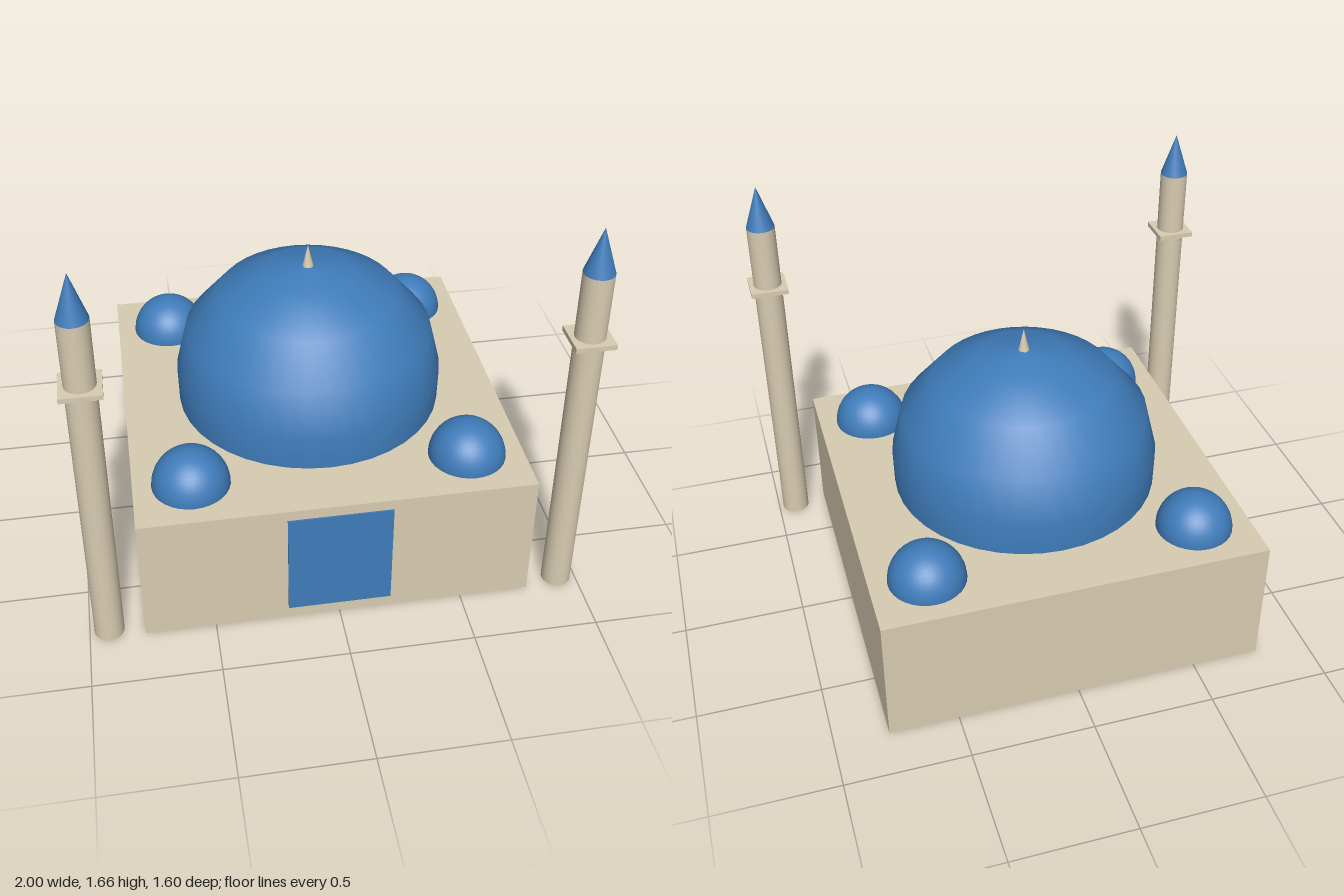
import * as THREE from 'three';

export function createModel() {
  const model = new THREE.Group();
  model.name = 'domedBuilding';
  const stone = new THREE.MeshStandardMaterial({ color: 0xd8ccb2 });
  stone.name = 'sandstone';
  const blue = new THREE.MeshStandardMaterial({ color: 0x3f7cba });
  blue.name = 'blueTile';

  const add = (parent, name, geometry, material, x, y, z) => {
    const mesh = new THREE.Mesh(geometry, material);
    mesh.name = name;
    mesh.position.set(x, y, z);
    parent.add(mesh);
    return mesh;
  };

  const roofY = 0.555, centreZ = -0.018, width = 1.565;

  // Square hall and its thin front door
  add(model, 'hall', new THREE.BoxGeometry(width, roofY, width), stone, 0, roofY / 2, centreZ);
  add(model, 'door', new THREE.BoxGeometry(0.415, 0.46, 0.009), blue, 0, 0.28, centreZ + width / 2 + 0.002);

  // Main dome: short upright drum running into a flattened crown
  const profile = [[0.55, 0], [0.553, 0.145], [0.509, 0.325], [0.37, 0.486], [0.185, 0.582], [0, 0.608]]
    .map(([r, y]) => new THREE.Vector2(r, y));
  add(model, 'mainDome', new THREE.LatheGeometry(profile, 40), blue, 0, roofY, centreZ);
  add(model, 'finial', new THREE.ConeGeometry(0.024, 0.1, 8), stone, 0, 1.206, centreZ);

  // Four corner domes
  const smallDome = new THREE.SphereGeometry(0.155, 32, 12, 0, Math.PI * 2, 0, Math.PI / 2);
  for (const sx of [-1, 1]) {
    for (const sz of [-1, 1]) {
      add(model, 'cornerDome', smallDome, blue, sx * 0.553, roofY, centreZ + sz * 0.553);
    }
  }

  // Two front minarets: shaft, square balcony and pointed cap
  for (const side of [-1, 1]) {
    const minaret = new THREE.Group();
    minaret.name = side > 0 ? 'leftMinaret' : 'rightMinaret';
    minaret.position.set(side * 0.922, 0, 0.72);
    add(minaret, 'shaft', new THREE.CylinderGeometry(0.059, 0.059, 1.48, 24), stone, 0, 0.74, 0);
    add(minaret, 'balcony', new THREE.BoxGeometry(0.156, 0.02, 0.156), stone, 0, 1.2, 0);
    add(minaret, 'cap', new THREE.ConeGeometry(0.059, 0.18, 24), blue, 0, 1.57, 0);
    model.add(minaret);
  }
  return model;
}
